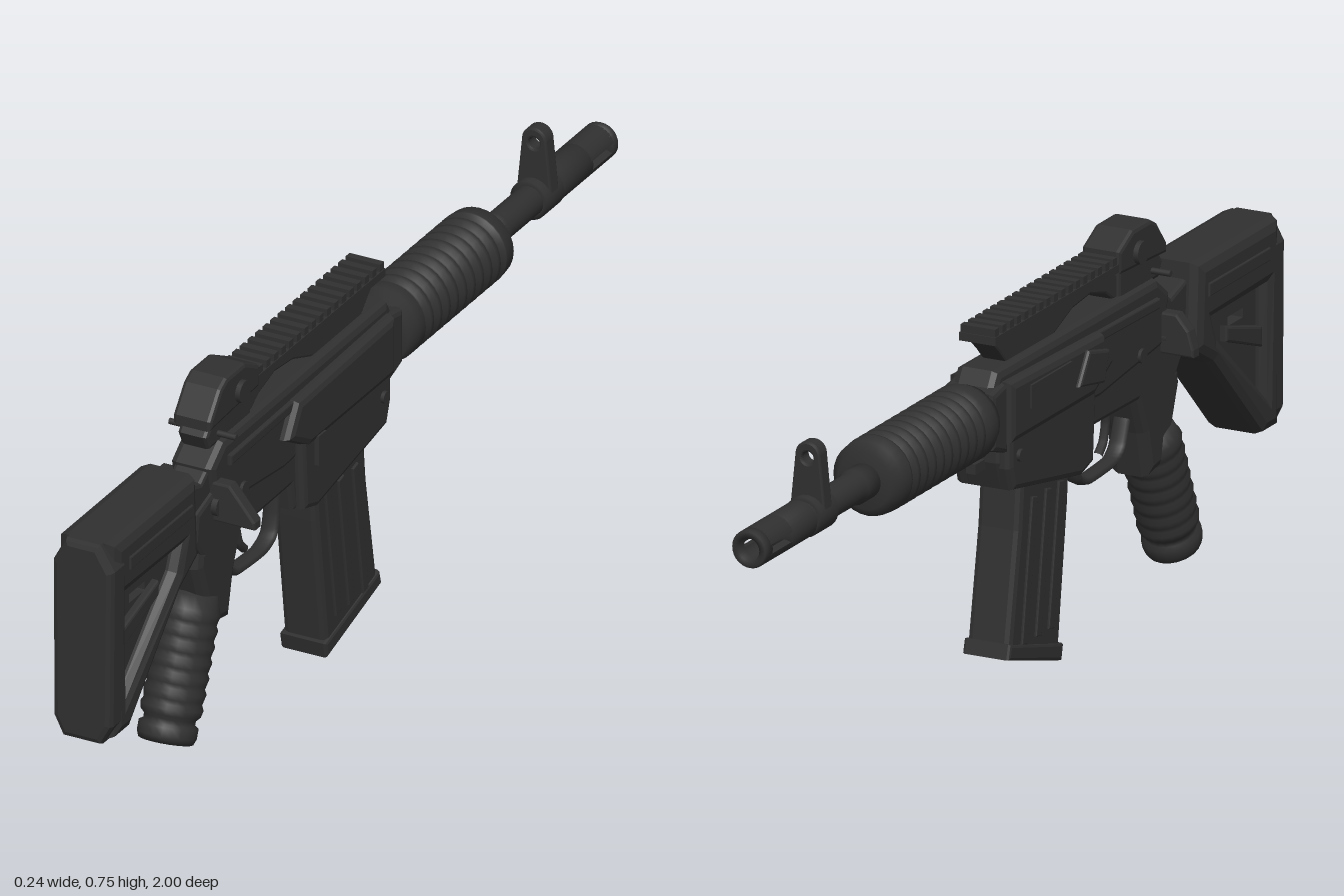
import * as THREE from 'three';

const gunmetal = new THREE.MeshStandardMaterial({ color: 0x303030 });
gunmetal.name = 'gunmetal';

export function createModel() {
  const model = new THREE.Group();
  const body = new THREE.Group();
  body.name = 'rifleBody';
  body.position.x = -0.01;
  model.add(body);

  const add = (name, geo, x = 0, y = 0, z = 0) => {
    const m = new THREE.Mesh(geo, gunmetal);
    m.name = name;
    m.position.set(x, y, z);
    body.add(m);
    return m;
  };
  const shapeOf = (pts, holes = []) => {
    const s = new THREE.Shape(pts.map(p => new THREE.Vector2(p[0], p[1])));
    holes.forEach(h => s.holes.push(new THREE.Path(h.map(p => new THREE.Vector2(p[0], p[1])))));
    return s;
  };
  const extrude = (shape, depth, bevel) => {
    const g = new THREE.ExtrudeGeometry(shape, {
      depth: depth - 2 * bevel, bevelEnabled: bevel > 0, bevelThickness: bevel,
      bevelSize: bevel, bevelOffset: -bevel, bevelSegments: 2, curveSegments: 12,
    });
    return g.translate(0, 0, bevel - depth / 2);
  };
  // Side profile given as [z, y], thickened along x
  const side = (name, pts, width, bevel = 0.008, x = 0, holes = []) =>
    add(name, extrude(shapeOf(pts, holes), width, bevel).rotateY(-Math.PI / 2), x);
  // Cross-section given as [x, y], thickened along z
  const section = (name, shape, depth, z, bevel = 0) => add(name, extrude(shape, depth, bevel), 0, 0, z);
  const box = (name, w, h, d, x, y, z) => add(name, new THREE.BoxGeometry(w, h, d), x, y, z);
  // Turned part along z, profile given as [radius, z]
  const BORE = 0.545;
  const turned = (name, pts, segs = 28) => add(name, new THREE.LatheGeometry(
    pts.map(p => new THREE.Vector2(p[0], p[1])), segs).rotateX(Math.PI / 2), 0, BORE, 0);
  const pin = (name, r, len, x, y, z) =>
    add(name, new THREE.CylinderGeometry(r, r, len, 14).rotateZ(Math.PI / 2), x, y, z);

  // Stock: outer frame, recessed core with a slot, ribs and butt pad
  side('stockFrame', [[0.98, 0.62], [0.98, 0.215], [0.915, 0.215], [0.72, 0.41], [0.65, 0.45], [0.66, 0.62]],
    0.125, 0.022, 0, [[[0.93, 0.5], [0.72, 0.5], [0.74, 0.455], [0.93, 0.285]]]);
  side('stockCore', [[0.97, 0.6], [0.97, 0.25], [0.92, 0.25], [0.73, 0.43], [0.68, 0.6]],
    0.07, 0, 0, [[[0.88, 0.468], [0.82, 0.468], [0.82, 0.45], [0.88, 0.45]]]);
  side('stockBrace', [[0.93, 0.42], [0.93, 0.38], [0.79, 0.43], [0.79, 0.46]], 0.1, 0.005);
  const pad = shapeOf([[-0.04, 0.21], [0.04, 0.21], [0.062, 0.25], [0.065, 0.57],
    [0.035, 0.62], [-0.035, 0.62], [-0.062, 0.57], [-0.06, 0.25]]);
  section('buttPad', pad, 0.06, 0.97, 0.012);
  for (const s of [-1, 1]) {
    side('stockCheekRail', [[0.93, 0.575], [0.93, 0.55], [0.69, 0.55], [0.69, 0.575]], 0.01, 0.002, s * 0.062);
  }
  side('stockMount', [[0.7, 0.6], [0.7, 0.46], [0.62, 0.47], [0.54, 0.5], [0.54, 0.61], [0.6, 0.57]], 0.07);

  // Receiver
  side('upperReceiver', [[0.58, 0.59], [0.53, 0.628], [-0.1, 0.632], [-0.12, 0.6], [-0.12, 0.48], [0.3, 0.46], [0.56, 0.49]],
    0.09, 0.015);
  side('lowerReceiver', [[0.63, 0.52], [0.64, 0.46], [0.6, 0.41], [0.27, 0.415], [0.26, 0.36], [0.2, 0.345],
    [-0.07, 0.395], [-0.09, 0.45], [-0.09, 0.52], [0.3, 0.54], [0.5, 0.56]], 0.085, 0.01);
  side('magazineWell', [[0.26, 0.52], [0.25, 0.36], [0.2, 0.345], [-0.07, 0.395], [-0.085, 0.44], [-0.085, 0.52]], 0.122, 0.012);
  side('receiverSides', [[0.32, 0.535], [0.28, 0.6], [-0.09, 0.61], [-0.09, 0.49], [0.24, 0.49]], 0.135, 0.014);
  side('frontCollar', [[-0.08, 0.61], [-0.14, 0.6], [-0.14, 0.49], [-0.08, 0.47]], 0.11, 0.01);
  for (const s of [-1, 1]) {
    side('receiverRidge', [[0.52, 0.595], [0.52, 0.575], [0.24, 0.58], [0.24, 0.6]], 0.014, 0.003, s * 0.047);
    pin('takedownPin', 0.014, 0.012, s * 0.045, 0.5, 0.46);
    pin('selectorHub', 0.02, 0.014, s * 0.047, 0.51, 0.56);
    pin('frontPin', 0.012, 0.01, s * 0.063, 0.46, -0.05);
  }
  // Ejection port and cover
  box('ejectionPort', 0.008, 0.045, 0.16, -0.068, 0.565, 0.06);
  side('caseDeflector', [[0.28, 0.57], [0.2, 0.59], [0.16, 0.53], [0.26, 0.51]], 0.03, 0.006, -0.062);
  box('boltCatch', 0.012, 0.06, 0.03, 0.064, 0.47, 0.2);
  box('lugUnderFront', 0.02, 0.02, 0.04, 0, 0.445, -0.105);
  // Side levers
  for (const s of [-1, 1]) {
    const tip = s > 0 ? 0.128 : -0.11;
    section('sideLever', shapeOf([[s * 0.03, 0.56], [s * 0.075, 0.56], [s * 0.1, 0.53], [tip, 0.495], [tip, 0.48], [s * 0.03, 0.48]]),
      0.028, 0.555, 0.004);
  }

  // Ribbed handguard
  const guard = [[0, -0.545], [0.055, -0.545], [0.072, -0.53], [0.075, -0.5]];
  const ribs = 10;
  for (let i = 0; i < ribs; i++) {
    const z = -0.5 + i * 0.032;
    guard.push([0.075, z + 0.004], [0.067, z + 0.011], [0.067, z + 0.018], [0.075, z + 0.025]);
  }
  guard.push([0.075, -0.16], [0.066, -0.135], [0, -0.135]);
  turned('handguard', guard);

  // Barrel and muzzle with side slots
  turned('barrel', [[0, -0.8], [0.03, -0.8], [0.03, -0.6], [0.034, -0.59], [0.034, -0.54], [0, -0.54]]);
  turned('muzzleBase', [[0, -0.9], [0.037, -0.9], [0.037, -0.8], [0.03, -0.79], [0, -0.79]]);
  turned('muzzleRing', [[0.022, -0.975], [0.022, -1], [0.034, -1], [0.037, -0.995], [0.037, -0.975], [0.022, -0.975]]);
  for (const start of [0, Math.PI]) {
    const prong = new THREE.Shape();
    prong.absarc(0, 0, 0.037, start + 0.25, start + Math.PI - 0.25, false);
    prong.absarc(0, 0, 0.022, start + Math.PI - 0.25, start + 0.25, true);
    section('muzzleProng', prong, 0.085, -0.938).position.y = BORE;
  }

  // Front sight post with a round eye
  const post = new THREE.Shape();
  post.moveTo(-0.038, 0.54);
  post.lineTo(0.038, 0.54);
  post.lineTo(0.026, 0.66);
  post.absarc(0, 0.66, 0.026, 0, Math.PI, false);
  const eye = new THREE.Path();
  eye.absarc(0, 0.655, 0.012, 0, Math.PI * 2, true);
  post.holes.push(eye);
  section('frontSight', post, 0.032, -0.754, 0.004);
  turned('frontSightBand', [[0.03, -0.785], [0.039, -0.785], [0.039, -0.72], [0.03, -0.72]]);

  // Top rail on an arched carrier
  side('railCarrier', [[0.42, 0.69], [0.42, 0.62], [0.39, 0.625], [0.36, 0.645], [0.3, 0.662], [0.23, 0.655],
    [0.15, 0.625], [-0.03, 0.625], [-0.06, 0.655], [-0.1, 0.69]], 0.05, 0.005);
  box('railBase', 0.075, 0.016, 0.5, 0, 0.689, 0.15);
  for (let i = 0; i < 17; i++) box('railTooth', 0.072, 0.018, 0.016, 0, 0.703, -0.09 + i * 0.029);

  // Rear optic
  side('opticBase', [[0.575, 0.65], [0.56, 0.62], [0.4, 0.62], [0.4, 0.69], [0.54, 0.69]], 0.062);
  side('opticHood', [[0.575, 0.665], [0.575, 0.685], [0.535, 0.735], [0.51, 0.748], [0.44, 0.748], [0.385, 0.72], [0.385, 0.675]],
    0.08, 0.008);
  for (const s of [-1, 1]) pin('opticKnob', 0.022, 0.014, s * 0.043, 0.7, 0.46);
  pin('opticCrossPin', 0.006, 0.14, 0, 0.642, 0.53);

  // Pistol grip: neck and tilted ribbed handle
  side('gripNeck', [[0.62, 0.44], [0.625, 0.4], [0.6, 0.33], [0.62, 0.27], [0.5, 0.25], [0.48, 0.34], [0.44, 0.44]], 0.085, 0.018);
  const grip = [[0, 0], [0.055, 0], [0.06, 0.012], [0.06, 0.03], [0.052, 0.035], [0.052, 0.045]];
  for (let i = 0; i < 7; i++) {
    const y = 0.05 + i * 0.03;
    grip.push([0.06, y + 0.003], [0.063, y + 0.015], [0.058, y + 0.024]);
  }
  grip.push([0.05, 0.28], [0, 0.3]);
  const handle = add('pistolGrip', new THREE.LatheGeometry(grip.map(p => new THREE.Vector2(p[0], p[1])), 20), 0, 0.064, 0.674);
  handle.rotation.x = -0.38;
  handle.scale.set(0.93, 1, 1);

  // Trigger and guard
  const path = pts => new THREE.CatmullRomCurve3(pts.map(p => new THREE.Vector3(0, p[1], p[0])), false, 'catmullrom', 0.3);
  const guardLoop = add('triggerGuard', new THREE.TubeGeometry(path([[0.47, 0.37], [0.45, 0.32], [0.42, 0.3], [0.32, 0.294],
    [0.28, 0.31], [0.268, 0.35], [0.265, 0.42]]), 32, 0.009, 8));
  guardLoop.scale.x = 2;
  add('trigger', new THREE.TubeGeometry(path([[0.4, 0.42], [0.405, 0.38], [0.395, 0.345], [0.375, 0.325]]), 12, 0.009, 8));

  // Magazine with side ribs and base plate
  side('magazine', [[0.185, 0.39], [0.178, 0.3], [0.14, 0.02], [-0.06, 0.075], [-0.02, 0.3], [-0.01, 0.4]], 0.09, 0.012);
  side('magazineBase', [[0.15, 0.035], [0.143, 0.003], [-0.068, 0.064], [-0.06, 0.093]], 0.098, 0.006);
  for (const s of [-1, 1]) for (const t of [0.045, 0.1, 0.15]) {
    const bottom = t - 0.04;
    side('magazineRib', [[t, 0.35], [bottom, 0.075], [bottom - 0.02, 0.08], [t - 0.02, 0.355]], 0.008, 0.002, s * 0.046);
  }
  return model;
}
